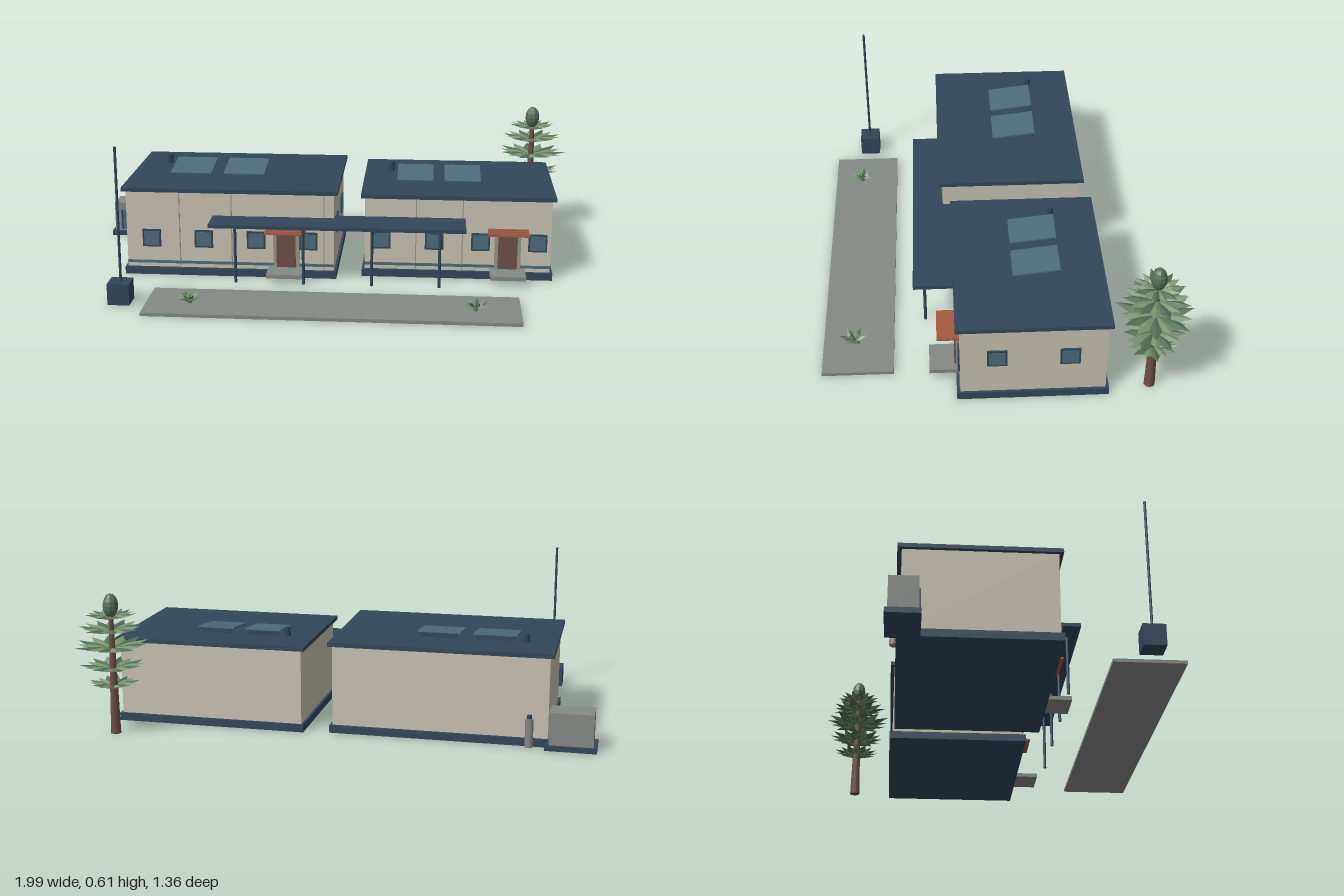
import * as THREE from 'three';

const mat = (name, color, extra = {}) => {
  const m = new THREE.MeshStandardMaterial({ color, ...extra });
  m.name = name;
  return m;
};

export function createModel() {
  const root = new THREE.Group();
  root.name = 'site';
  const wall = mat('cream wall', 0xc9c3b3);
  const navy = mat('navy trim', 0x33475a);
  const glass = mat('blue glass', 0x4e6b7b);
  const rust = mat('rust', 0xa65a42);
  const wood = mat('brown wood', 0x6f5048);
  const concrete = mat('concrete', 0x868a86);
  const joint = mat('wall joint', 0x9a968b);
  const leafA = mat('light leaf', 0x7c9671, { side: THREE.DoubleSide, flatShading: true });
  const leafB = mat('dark leaf', 0x567058, { side: THREE.DoubleSide, flatShading: true });

  const add = (parent, name, geo, material, x = 0, y = 0, z = 0) => {
    const m = new THREE.Mesh(geo, material);
    m.name = name;
    m.position.set(x, y, z);
    parent.add(m);
    return m;
  };
  // box given by its minimum and maximum on each axis
  const box = (parent, name, material, x0, x1, y0, y1, z0, z1) =>
    add(parent, name, new THREE.BoxGeometry(x1 - x0, y1 - y0, z1 - z0), material,
      (x0 + x1) / 2, (y0 + y1) / 2, (z0 + z1) / 2);
  const pipe = (parent, name, material, x, z, y0, y1, r, rTop = r, n = 10) =>
    add(parent, name, new THREE.CylinderGeometry(rTop, r, y1 - y0, n), material, x, (y0 + y1) / 2, z);
  const group = (name, parent = root) => {
    const g = new THREE.Group();
    g.name = name;
    parent.add(g);
    return g;
  };

  // framed window facing +z, with its back on the wall
  const windowUnit = (parent, x, y, z, turn = 0) => {
    const g = group('window', parent);
    box(g, 'windowFrame', navy, -0.037, 0.037, -0.036, 0.036, -0.002, 0.006);
    box(g, 'windowPane', glass, -0.03, 0.03, -0.029, 0.029, 0, 0.008);
    g.position.set(x, y, z);
    g.rotation.y = turn;
  };

  // buildings
  const building = (name, o) => {
    const g = group(name);
    const { x0, x1, z0, z1, h } = o;
    box(g, 'plinth', navy, x0, x1, 0, 0.03, z0, z1);
    box(g, 'walls', wall, x0 + 0.01, x1 - 0.01, 0.03, h - 0.015, z0 + 0.012, z1 - 0.012);
    box(g, 'roof', navy, x0 - 0.005, x1 + 0.005, h - 0.016, h, z0 - 0.004, z1 + 0.004);
    const front = z1 - 0.012, side = x1 - 0.01, mid = (z0 + z1) / 2;
    box(g, 'frontStripe', glass, x0 + 0.01, x1 - 0.01, 0.046, 0.057, front, front + 0.004);
    o.joints.forEach(x => box(g, 'wallJoint', joint, x - 0.002, x + 0.002, 0.03, h - 0.016, front, front + 0.003));
    o.windows.forEach(x => windowUnit(g, x, 0.152, front));
    [-0.133, 0.133].forEach(d => windowUnit(g, side, 0.192, mid + d, Math.PI / 2));

    // doorway with slatted canopy and step
    const d = o.door;
    box(g, 'doorFrame', joint, d - 0.052, d + 0.052, 0.045, 0.205, front, front + 0.012);
    box(g, 'door', wood, d - 0.038, d + 0.038, 0.045, 0.192, front, front + 0.018);
    box(g, 'doorStep', concrete, d - 0.07, d + 0.07, 0.03, 0.046, front, z1 + 0.1);
    box(g, 'doorCanopy', rust, d - 0.08, d + 0.08, 0.2, 0.208, front, z1 + 0.07);
    for (let i = 0; i < 3; i++)
      box(g, 'canopySlat', rust, d - 0.075, d + 0.075, 0.208, 0.212, z1 + i * 0.025, z1 + 0.01 + i * 0.025);

    // tilted solar panels and vent
    o.panels.forEach(([a, b]) => {
      const p = box(g, 'solarPanel', glass, a, b, h + 0.008, h + 0.014, o.pz - 0.09, o.pz + 0.09);
      p.rotation.x = 0.12;
      box(g, 'panelSupport', navy, a + 0.01, b - 0.01, h, h + 0.016, o.pz - 0.085, o.pz - 0.078);
    });
    pipe(g, 'roofVent', navy, o.vent[0], o.vent[1], h, h + 0.036, 0.012);
  };
  building('largeBuilding', {
    x0: -0.825, x1: 0.03, z0: -0.36, z1: 0.224, h: 0.362, door: -0.17,
    windows: [-0.714, -0.503, -0.292, -0.083], joints: [-0.6, -0.39, -0.02],
    panels: [[-0.675, -0.505], [-0.455, -0.285]], pz: -0.098, vent: [-0.71, -0.185]
  });
  building('smallBuilding', {
    x0: 0.13, x1: 0.89, z0: -0.38, z1: 0.18, h: 0.342, door: 0.71,
    windows: [0.207, 0.418, 0.602, 0.828], joints: [0.345, 0.53],
    panels: [[0.262, 0.41], [0.457, 0.605]], pz: -0.128, vent: [0.235, -0.208]
  });

  // covered walkway
  const walk = group('walkway');
  box(walk, 'walkwayRoof', navy, -0.465, 0.54, 0.236, 0.25, 0.175, 0.335);
  [-0.365, -0.095, 0.175, 0.44].forEach(x => pipe(walk, 'walkwayPost', navy, x, 0.293, 0, 0.238, 0.006));

  // pavement
  box(root, 'pavement', concrete, -0.665, 0.745, 0, 0.013, 0.415, 0.685);

  // mast on its base
  const mast = group('mast');
  box(mast, 'mastBase', navy, -0.812, -0.728, 0, 0.083, 0.498, 0.582);
  pipe(mast, 'mastPole', navy, -0.767, 0.541, 0.08, 0.608, 0.005);

  // service unit and gas bottle
  const unit = group('serviceUnit');
  box(unit, 'unitPad', navy, -1, -0.805, 0, 0.02, -0.4, -0.275);
  box(unit, 'unitCase', concrete, -0.987, -0.82, 0.02, 0.146, -0.39, -0.285);
  box(unit, 'unitGrille', glass, -0.96, -0.845, 0.028, 0.115, -0.286, -0.281);
  for (let i = 0; i < 5; i++) {
    const x = -0.957 + i * 0.0265;
    box(unit, 'grilleBar', navy, x, x + 0.006, 0.028, 0.115, -0.282, -0.278);
  }
  pipe(root, 'gasBottle', concrete, -0.745, -0.366, 0, 0.11, 0.016);
  pipe(root, 'gasBottleCap', navy, -0.745, -0.366, 0.11, 0.125, 0.009);

  // folded pointed leaf along +x: root, two edges, raised ridge, tip
  const leafGeometry = (len, width, rise, fold) => {
    const g = new THREE.BufferGeometry();
    const m = len * 0.5, y = rise * 0.5;
    g.setAttribute('position', new THREE.Float32BufferAttribute([
      0, 0, 0, m, y - fold, width / 2, m, y + fold, 0, m, y - fold, -width / 2, len, rise, 0], 3));
    g.setIndex([0, 1, 2, 0, 2, 3, 1, 4, 2, 2, 4, 3]);
    g.computeVertexNormals();
    return g;
  };
  const whorl = (parent, name, n, y, len, width, rise, fold, offset) => {
    for (let i = 0; i < n; i++) {
      const k = 1 - 0.12 * ((i * 3) % 4) / 3;
      const leaf = add(parent, name, leafGeometry(len * k, width, rise, fold), i % 2 ? leafA : leafB, 0, y, 0);
      leaf.rotation.y = offset + i / n * Math.PI * 2;
    }
  };

  // tiered conifer
  const tree = group('tree');
  tree.position.set(0.842, 0, -0.537);
  pipe(tree, 'trunk', wood, 0, 0, 0, 0.48, 0.021, 0.009, 8);
  [[0.19, 0.1], [0.26, 0.127], [0.34, 0.152], [0.408, 0.127], [0.46, 0.097]].forEach(([y, r], t) =>
    whorl(tree, 'branch', 14, y, r, r * 0.42, 0.017, 0.006, t * 0.37));
  add(tree, 'crown', new THREE.SphereGeometry(0.03, 10, 8), leafB, 0, 0.507, 0).scale.y = 1.55;

  // low spiky plants on the pavement
  [-0.5, 0.575].forEach((x, i) => {
    const plant = group('spikyPlant');
    plant.position.set(x, 0.015, 0.57);
    whorl(plant, 'plantLeaf', 6, 0.008, 0.056, 0.026, 0.022, 0.004, i * 0.5);
    whorl(plant, 'plantLeaf', 5, 0.01, 0.034, 0.018, 0.03, 0.004, 0.4 + i);
    add(plant, 'plantHeart', new THREE.ConeGeometry(0.01, 0.036, 6), leafB, 0, 0.018, 0);
  });

  return root;
}
